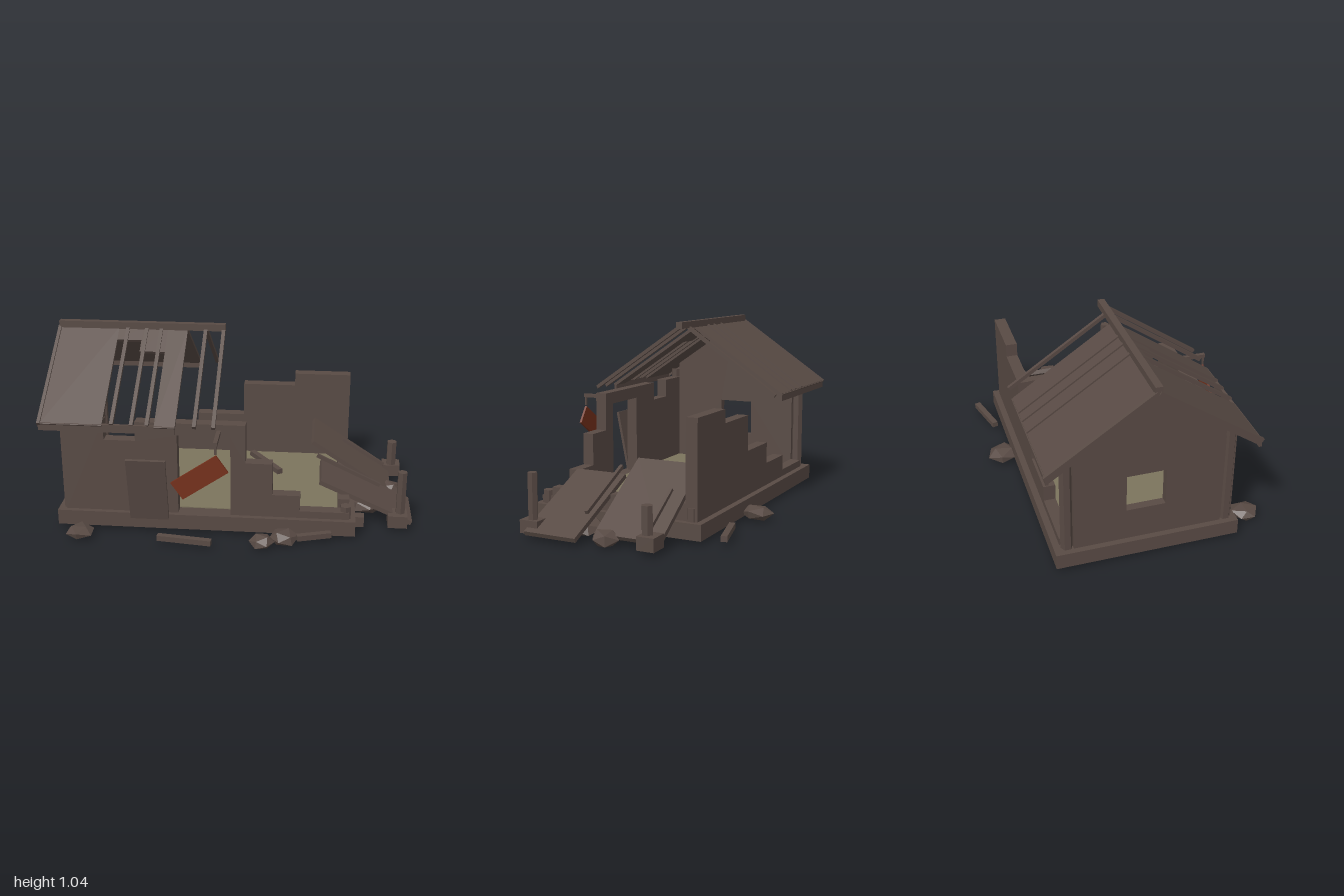
import * as THREE from 'three';

const mat = (name, color) => {
  const m = new THREE.MeshStandardMaterial({ color });
  m.name = name;
  m.flatShading = true;
  return m;
};

export function createModel() {
  const brown = mat('weathered brown', 0x584a44);
  const olive = mat('olive floor', 0x7c745d);
  const rust = mat('rust red', 0x74301b);
  const group = new THREE.Group();
  group.name = 'ruinedHouse';
  const midZ = -0.022;

  const add = (name, geo, x, y, z, material = brown) => {
    const m = new THREE.Mesh(geo, material);
    m.name = name;
    m.position.set(x, y, z);
    group.add(m);
    return m;
  };
  // Box given by its limits on each axis
  const block = (name, x0, x1, y0, y1, z0, z1, material) =>
    add(name, new THREE.BoxGeometry(x1 - x0, y1 - y0, z1 - z0),
      (x0 + x1) / 2, (y0 + y1) / 2, (z0 + z1) / 2, material);
  const points = (pts) => pts.map((p) => new THREE.Vector2(...p));
  const extrude = (shape, depth) =>
    new THREE.ExtrudeGeometry(shape, { depth, bevelEnabled: false });

  // Foundation and floor
  block('foundation', -0.94, 0.685, 0.025, 0.11, -0.518, 0.467);
  block('floor', -0.86, 0.59, 0.1, 0.115, -0.42, 0.375, olive);

  // Front wall with broken top, doorway and stepped end
  add('frontWall', extrude(new THREE.Shape(points([
    [-0.895, 0.1], [-0.275, 0.1], [-0.275, 0.567], [0.01, 0.567], [0.01, 0.1], [0.65, 0.1],
    [0.65, 0.15], [0.385, 0.15], [0.385, 0.24], [0.235, 0.24], [0.235, 0.42], [0.09, 0.42],
    [0.09, 0.635], [-0.5, 0.635], [-0.5, 0.527], [-0.67, 0.527], [-0.67, 0.635], [-0.895, 0.635],
  ])), 0.065), 0, 0, 0.375);

  // Back wall stepping down toward the gable
  add('backWall', extrude(new THREE.Shape(points([
    [-0.86, 0.1], [0.652, 0.1], [0.652, 0.635], [0.32, 0.635], [0.32, 0.56], [0.01, 0.56],
    [0.01, 0.36], [-0.275, 0.36], [-0.275, 0.24], [-0.54, 0.24], [-0.54, 0.15], [-0.86, 0.15],
  ])), 0.065), 0, 0, -0.483);

  // Gable wall with window, set between the corner posts
  const gable = new THREE.Shape(points(
    [[-0.418, 0.1], [0.375, 0.1], [0.375, 0.727], [midZ, 0.998], [-0.418, 0.727]]));
  gable.holes.push(new THREE.Path(points(
    [[-0.142, 0.29], [-0.142, 0.5], [0.067, 0.5], [0.067, 0.29]])));
  add('gableWall', extrude(gable, 0.045), -0.863, 0, 0).rotation.y = -Math.PI / 2;

  // Remains of the right wall
  block('rightWallStub', 0.59, 0.65, 0.1, 0.2, -0.42, 0.375);

  // Hexagonal corner posts, broken off on the right
  const post = (name, x, z, y0, y1, r = 0.032) =>
    add(name, new THREE.CylinderGeometry(r, r, y1 - y0, 6), x, (y0 + y1) / 2, z);
  for (const z of [0.408, -0.45]) {
    post('cornerPost', -0.882, z, 0.1, 0.685);
    post('brokenPost', 0.632, z, 0.1, 0.18);
  }

  // Roof parts laid along a slope; d is the distance from the ridge
  const slope = 0.68, pitch = Math.atan(slope);
  const onRoof = (name, x0, x1, d0, d1, side, lift, thick) => {
    const dm = (d0 + d1) / 2;
    const m = add(name, new THREE.BoxGeometry(x1 - x0, thick, (d1 - d0) / Math.cos(pitch)),
      (x0 + x1) / 2, 1.012 - slope * dm + lift, midZ + side * dm);
    m.rotation.x = side * pitch;
  };
  onRoof('backRoof', -0.985, -0.27, 0, 0.55, -1, 0, 0.018);
  for (const [x0, x1, d] of [[-0.985, -0.655, 0.55], [-0.655, -0.52, 0.075],
    [-0.52, -0.38, 0.14], [-0.38, -0.27, 0.55]]) {
    onRoof('frontRoof', x0, x1, 0, d, 1, 0, 0.018);
  }
  for (const side of [1, -1]) {
    onRoof('bargeBoard', -1, -0.982, 0, 0.55, side, -0.003, 0.04);
    const z = midZ + side * 0.543;
    block('eaveBoard', -0.995, -0.27, 0.607, 0.65, z - 0.008, z + 0.008);
    for (const x of [-0.605, -0.5, -0.418, -0.17]) {
      onRoof('rafter', x - 0.01, x + 0.01, 0, 0.548, side, 0.009, 0.02);
    }
  }
  onRoof('rafter', -0.08, -0.06, 0, 0.548, 1, 0.009, 0.02);
  block('ridgeBeam', -0.995, -0.06, 1.012, 1.05, midZ - 0.019, midZ + 0.019);

  // Fallen roof slabs with loose battens
  const leaning = (name, x0, y0, x1, y1, z0, z1, thick) => {
    const m = add(name, new THREE.BoxGeometry(Math.hypot(x1 - x0, y1 - y0), thick, z1 - z0),
      (x0 + x1) / 2, (y0 + y1) / 2, (z0 + z1) / 2);
    m.rotation.z = Math.atan2(y1 - y0, x1 - x0);
  };
  leaning('fallenSlab', 0.44, 0.35, 0.895, 0.052, -0.405, -0.037, 0.025);
  leaning('fallenSlab', 0.49, 0.265, 0.995, 0.04, 0.015, 0.315, 0.025);
  leaning('batten', 0.62, 0.255, 0.87, 0.1, -0.332, -0.315, 0.02);
  leaning('batten', 0.47, 0.31, 0.83, 0.14, 0.042, 0.06, 0.02);

  // Porch footings with broken posts
  block('footing', 0.865, 0.97, 0.03, 0.1, -0.408, -0.312);
  post('porchPost', 0.917, -0.345, 0.1, 0.245, 0.03);
  block('footing', 0.865, 0.97, 0.03, 0.1, 0.255, 0.36);
  post('porchPost', 0.932, 0.303, 0.1, 0.343, 0.027);
  block('rubbleBlock', 0.68, 0.735, 0.025, 0.085, 0.3, 0.355);

  // Door leaning on the front wall
  add('leaningDoor', new THREE.BoxGeometry(0.212, 0.385, 0.016), -0.43, 0.27, 0.5)
    .rotation.x = 0.197;

  // Hanging sign on its bracket
  block('signBracket', -0.062, -0.04, 0.585, 0.605, 0.43, 0.607);
  block('signHanger', -0.056, -0.046, 0.535, 0.59, 0.593, 0.603);
  add('signBoard', new THREE.BoxGeometry(0.29, 0.112, 0.013), -0.136, 0.402, 0.598, rust)
    .rotation.z = 0.6;

  // Loose planks: centre x, y, z, length and turn
  for (const [x, y, z, len, turn] of [
    [-0.22, 0.045, 0.62, 0.295, -0.12], [0.525, 0.045, -0.595, 0.26, 0.25],
    [0.465, 0.045, 0.515, 0.19, 0.3], [0.16, 0.13, -0.23, 0.32, -0.96],
  ]) {
    add('loosePlank', new THREE.BoxGeometry(len, 0.03, 0.033), x, y, z).rotation.y = turn;
  }

  // Flattened rocks: x, z, radius, half height
  const rocks = [[-0.8, 0.565, 0.08, 0.035], [0.095, -0.575, 0.087, 0.04], [0.19, 0.59, 0.065, 0.038],
    [0.3, 0.53, 0.08, 0.042], [0.9, -0.1, 0.078, 0.052], [0.47, 0.38, 0.1, 0.048],
    [0.12, -0.15, 0.12, 0.045], [0.29, 0.2, 0.12, 0.045], [0.55, -0.265, 0.12, 0.045],
    [0.76, 0.1, 0.1, 0.047]];
  rocks.forEach(([x, z, r, h], i) => {
    const geo = new THREE.IcosahedronGeometry(1, 0);
    const p = geo.attributes.position;
    // Uneven corners from a rule that treats shared corners alike
    for (let k = 0; k < p.count; k++) {
      const s = 1 + 0.1 * Math.sin(p.getX(k) * 5 + p.getY(k) * 3 + p.getZ(k) * 7 + i);
      p.setXYZ(k, p.getX(k) * s * r, p.getY(k) * s * h, p.getZ(k) * s * r);
    }
    geo.rotateY(i * 1.3);
    geo.computeVertexNormals();
    geo.computeBoundingBox();
    add('rock', geo, x, 0.005 - geo.boundingBox.min.y, z);
  });

  return group;
}
